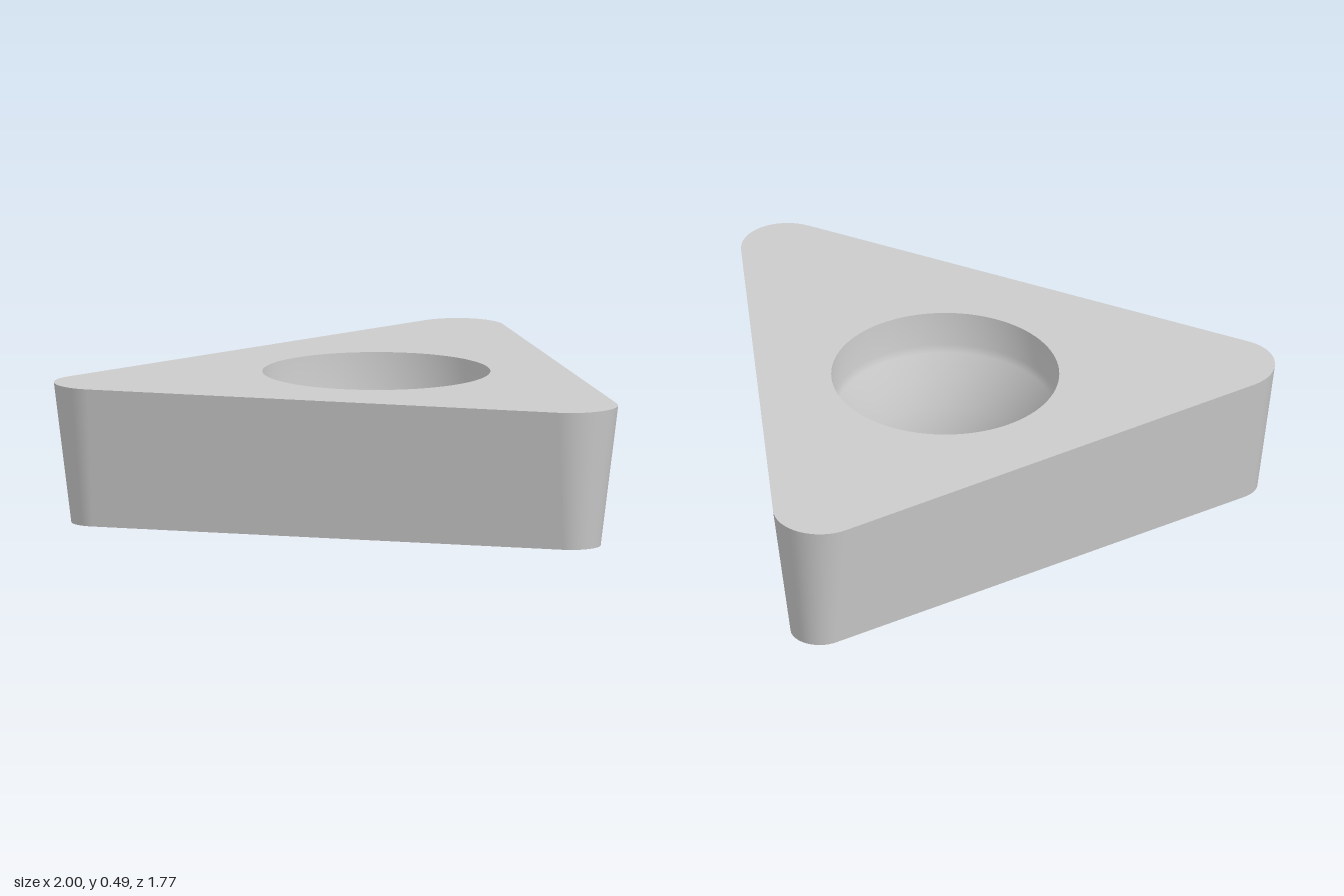
import * as THREE from 'three';

const HEIGHT = 0.485;
const CENTRE_Z = 0.24;      // triangle centroid and hole axis
const CORNER_DIST = 0.97;   // centroid to corner-arc centre
const TOP_R = 0.16, BOTTOM_R = 0.1; // corner radii; the flanks taper inward downwards
const ARC_STEPS = 16, HOLE_STEPS = 96;

// Rounded triangle outline as [x, z, normalX, normalZ]
function outline(radius) {
  const pts = [];
  for (let k = 0; k < 3; k++) {
    const dir = -Math.PI / 2 + (k * 2 * Math.PI) / 3;
    for (let i = 0; i <= ARC_STEPS; i++) {
      const a = dir + (i / ARC_STEPS - 0.5) * ((2 * Math.PI) / 3);
      const nx = Math.cos(a), nz = Math.sin(a);
      pts.push([
        CORNER_DIST * Math.cos(dir) + radius * nx,
        CORNER_DIST * Math.sin(dir) + radius * nz, nx, nz,
      ]);
    }
  }
  return pts;
}

// Tapered flanks lofted between the bottom and top outlines
function flankGeometry() {
  const bottom = outline(BOTTOM_R), top = outline(TOP_R);
  const n = top.length, pos = [], nor = [], idx = [];
  const slope = new THREE.Vector2(HEIGHT, BOTTOM_R - TOP_R).normalize();
  for (let i = 0; i < n; i++) {
    const [bx, bz, nx, nz] = bottom[i];
    pos.push(bx, 0, bz, top[i][0], HEIGHT, top[i][1]);
    for (let j = 0; j < 2; j++) nor.push(nx * slope.x, slope.y, nz * slope.x);
    const b = 2 * i, b2 = 2 * ((i + 1) % n);
    idx.push(b, b + 1, b2 + 1, b, b2 + 1, b2);
  }
  const g = new THREE.BufferGeometry();
  g.setAttribute('position', new THREE.Float32BufferAttribute(pos, 3));
  g.setAttribute('normal', new THREE.Float32BufferAttribute(nor, 3));
  g.setIndex(idx);
  return g;
}

// Flat triangular face with a round hole; up = 1 faces +y, -1 faces -y
function faceGeometry(radius, holeRadius, up) {
  const shape = new THREE.Shape(outline(radius).map(([x, z]) => new THREE.Vector2(x, -z * up)));
  const hole = [];
  for (let i = 0; i < HOLE_STEPS; i++) {
    const a = (i / HOLE_STEPS) * 2 * Math.PI;
    hole.push(new THREE.Vector2(holeRadius * Math.cos(a), holeRadius * Math.sin(a)));
  }
  shape.holes.push(new THREE.Path(hole));
  return new THREE.ShapeGeometry(shape).rotateX((-up * Math.PI) / 2);
}

export function createModel() {
  const group = new THREE.Group();
  group.name = 'triangularInsert';
  const material = new THREE.MeshStandardMaterial({ color: 0xcccccc });
  const add = (name, geometry) => {
    const mesh = new THREE.Mesh(geometry, material);
    mesh.name = name;
    mesh.position.z = CENTRE_Z;
    group.add(mesh);
    return mesh;
  };

  // Hole wall: steep rim, then a countersink easing into the bore
  const profile = [
    [0.39, HEIGHT], [0.386, 0.36], [0.373, 0.335], [0.337, 0.25],
    [0.307, 0.16], [0.291, 0.08], [0.286, 0],
  ].map(([r, y]) => new THREE.Vector2(r, y));

  add('flanks', flankGeometry());
  add('topFace', faceGeometry(TOP_R, 0.39, 1)).position.y = HEIGHT;
  add('bottomFace', faceGeometry(BOTTOM_R, 0.286, -1));
  add('countersunkHole', new THREE.LatheGeometry(profile, HOLE_STEPS));
  return group;
}
